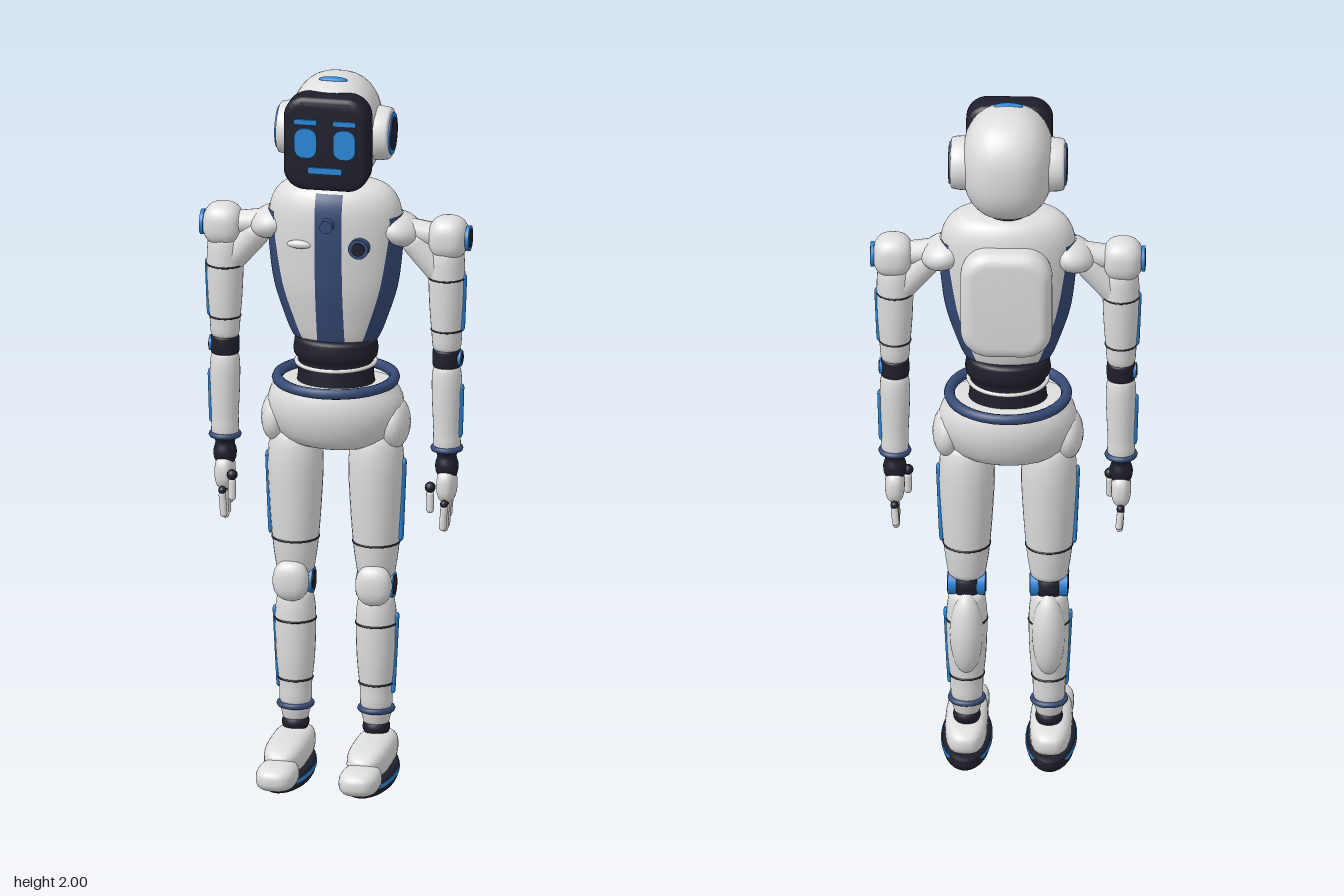
import * as THREE from 'three';
import { mergeVertices, toCreasedNormals } from 'three/addons/utils/BufferGeometryUtils.js';

const paint = (name, color, side = THREE.FrontSide) => {
  const m = new THREE.MeshStandardMaterial({ color, side });
  m.name = name;
  return m;
};
const V2 = (x, y) => new THREE.Vector2(x, y);
const Z = -0.066; // depth of the body axis

export function createModel() {
  const white = paint('shell white', 0xdedede);
  const dark = paint('joint black', 0x1f1f2c);
  const blue = paint('light blue', 0x2b86da);
  const navy = paint('panel navy', 0x364a76, THREE.DoubleSide);

  const root = new THREE.Group();
  root.name = 'robot';
  const group = (name) => {
    const g = new THREE.Group();
    g.name = name;
    root.add(g);
    return g;
  };
  const add = (parent, name, geo, mat, x = 0, y = 0, z = Z) => {
    const m = new THREE.Mesh(geo, mat);
    m.name = name;
    m.position.set(x, y, z);
    parent.add(m);
    return m;
  };
  const ball = (rx, ry, rz) => new THREE.SphereGeometry(1, 20, 12).scale(rx, ry, rz);
  // sphere swollen toward a box
  const softBox = (rx, ry, rz, e = 0.75) => {
    let g = new THREE.SphereGeometry(1, 32, 20);
    g.deleteAttribute('uv');
    g.deleteAttribute('normal');
    const p = g.attributes.position;
    const f = (v) => Math.sign(v) * Math.abs(v) ** e;
    for (let i = 0; i < p.count; i++) p.setXYZ(i, f(p.getX(i)) * rx, f(p.getY(i)) * ry, f(p.getZ(i)) * rz);
    g = mergeVertices(g, 1e-5);
    g.computeVertexNormals();
    return g;
  };
  const smooth = (pts, steps) => new THREE.SplineCurve(pts.map(([r, y]) => V2(r, y))).getPoints((pts.length - 1) * steps).map((p) => V2(Math.max(p.x, 0), p.y));
  // profile runs bottom to top as [radius, height]
  const lathe = (pts, k = 1) => new THREE.LatheGeometry(smooth(pts, 3), 28).scale(1, 1, k);
  const disc = (r, h) => new THREE.CylinderGeometry(r, r, h, 28);
  const sideDisc = (r, h) => disc(r, h).rotateZ(Math.PI / 2);
  const ring = (r, t) => new THREE.TorusGeometry(r, t, 8, 32).rotateX(Math.PI / 2);
  const plate = (w, h, d, r, b) => {
    const s = new THREE.Shape();
    const x = w / 2 - b, y = h / 2 - b, q = Math.max(r - b, 0.001);
    s.absarc(x - q, y - q, q, 0, Math.PI / 2);
    s.absarc(-x + q, y - q, q, Math.PI / 2, Math.PI);
    s.absarc(-x + q, -y + q, q, Math.PI, Math.PI * 1.5);
    s.absarc(x - q, -y + q, q, Math.PI * 1.5, Math.PI * 2);
    const g = new THREE.ExtrudeGeometry(s, { depth: d - 2 * b, bevelEnabled: b > 0, bevelSize: b, bevelThickness: b, bevelSegments: 5, curveSegments: 8 });
    return toCreasedNormals(g.translate(0, 0, -d / 2 + b), 0.7);
  };
  const capsule = (r, len) => new THREE.CapsuleGeometry(r, len, 4, 12);
  const rod = (parent, name, mat, r, a, b) => {
    const A = new THREE.Vector3(...a), B = new THREE.Vector3(...b);
    const d = B.clone().sub(A);
    const m = add(parent, name, capsule(r, d.length()), mat);
    m.position.copy(A).lerp(B, 0.5);
    m.quaternion.setFromUnitVectors(new THREE.Vector3(0, 1, 0), d.normalize());
  };

  // Head
  const head = group('head');
  add(head, 'skull', softBox(0.126, 0.156, 0.143, 0.85), white, 0, 1.842);
  add(head, 'faceScreen', plate(0.236, 0.266, 0.085, 0.06, 0.02), dark, 0, 1.838, 0.042);
  for (const s of [-1, 1]) {
    add(head, 'eye', plate(0.062, 0.084, 0.006, 0.026, 0), blue, s * 0.054, 1.843, 0.087);
    add(head, 'brow', plate(0.064, 0.015, 0.006, 0.005, 0), blue, s * 0.054, 1.903, 0.087);
    add(head, 'earShell', lathe([[0, -0.05], [0.07, -0.05], [0.075, -0.02], [0.072, 0.015], [0.06, 0.026], [0, 0.026]]), white, s * 0.13, 1.836).rotation.z = -s * Math.PI / 2;
    add(head, 'earRing', sideDisc(0.058, 0.008), blue, s * 0.156, 1.836);
    add(head, 'earCore', sideDisc(0.046, 0.008), dark, s * 0.158, 1.836);
  }
  add(head, 'mouth', plate(0.094, 0.018, 0.006, 0.005, 0), blue, 0, 1.766, 0.087);
  add(head, 'crownLight', ball(0.04, 0.008, 0.014), blue, 0, 1.992, -0.028);
  add(head, 'neck', disc(0.065, 0.06), dark, 0, 1.695);

  // Torso with fitted navy panels
  const torso = group('torso');
  const K = 0.6;
  const profile = [[0, 1.235], [0.09, 1.235], [0.115, 1.25], [0.14, 1.31], [0.168, 1.4], [0.181, 1.5], [0.185, 1.58], [0.176, 1.64], [0.145, 1.68], [0.09, 1.695], [0, 1.697]];
  const outline = smooth(profile, 5);
  add(torso, 'chestShell', new THREE.LatheGeometry(outline, 56).scale(1, 1, K), white);
  const radiusAt = (y) => {
    const i = outline.findIndex((p, j) => j > 7 && p.y >= y);
    const a = outline[i - 1], b = outline[i];
    return a.x + ((b.x - a.x) * (y - a.y)) / (b.y - a.y);
  };
  const panel = (name, y0, y1, from, to) => {
    const g = new THREE.PlaneGeometry(1, 1, 20, 28);
    const p = g.attributes.position;
    for (let i = 0; i < p.count; i++) {
      const y = y0 + (y1 - y0) * (p.getY(i) + 0.5);
      const r = radiusAt(y), a = from(y, r) + (to(y, r) - from(y, r)) * (p.getX(i) + 0.5);
      p.setXYZ(i, (r + 0.003) * Math.sin(a), y, (r * K + 0.003) * Math.cos(a));
    }
    g.computeVertexNormals();
    add(torso, name, g, navy);
  };
  const half = (y, r) => Math.asin(0.037 / r);
  panel('frontStripe', 1.25, 1.68, (y, r) => -half(y, r), half);
  const edge = (y) => 0.78 + 0.26 * Math.min(1, Math.max(0, (y - 1.25) / 0.35));
  panel('leftFlank', 1.25, 1.61, edge, (y) => Math.PI - edge(y));
  panel('rightFlank', 1.25, 1.61, (y) => edge(y) - Math.PI, (y) => -edge(y));
  add(torso, 'backPack', plate(0.25, 0.32, 0.09, 0.08, 0.035), white, 0, 1.47, -0.182);
  add(torso, 'collarButton', disc(0.018, 0.025).rotateX(Math.PI / 2), navy, 0, 1.6, 0.06);
  add(torso, 'chestBadge', ball(0.037, 0.012, 0.012), white, -0.08, 1.535, 0.034);
  add(torso, 'chestSensor', disc(0.028, 0.03).rotateX(Math.PI / 2), navy, 0.085, 1.535, 0.035);
  add(torso, 'chestLens', disc(0.018, 0.006).rotateX(Math.PI / 2), dark, 0.085, 1.535, 0.052);

  // Waist and pelvis
  const hips = group('hips');
  add(hips, 'waist', lathe([[0, 1.09], [0.1, 1.09], [0.105, 1.14], [0.102, 1.18], [0.115, 1.2], [0.115, 1.23], [0.1, 1.25], [0, 1.25]], 0.78), dark);
  add(hips, 'waistRing', ring(0.108, 0.006), white, 0, 1.178);
  add(hips, 'hipRing', ring(0.16, 0.015), navy, 0, 1.13);
  add(hips, 'pelvis', lathe([[0, 0.935], [0.09, 0.94], [0.15, 0.965], [0.183, 1.02], [0.188, 1.07], [0.172, 1.11], [0.15, 1.122], [0, 1.122]], 0.7), white);

  for (const s of [-1, 1]) {
    // Leg
    const leg = group(s > 0 ? 'leftLeg' : 'rightLeg');
    const lx = s * 0.112;
    add(leg, 'hipCap', ball(0.042, 0.072, 0.07), white, s * 0.164, 1.01);
    add(leg, 'thigh', lathe([[0, 0.565], [0.045, 0.57], [0.055, 0.6], [0.064, 0.67], [0.072, 0.78], [0.076, 0.9], [0.06, 0.98], [0, 1]]), white, lx);
    add(leg, 'thighSeam', ring(0.0635, 0.003), dark, lx, 0.668);
    add(leg, 'thighLight', capsule(0.014, 0.21).scale(0.5, 1, 1), blue, s * 0.185, 0.79).rotation.z = -s * 0.04;
    add(leg, 'kneeJoint', ball(0.047, 0.05, 0.045), dark, lx, 0.545);
    add(leg, 'kneeAxle', sideDisc(0.036, 0.102), blue, lx, 0.545);
    add(leg, 'kneeHub', sideDisc(0.027, 0.106), dark, lx, 0.545);
    add(leg, 'kneeCap', softBox(0.05, 0.057, 0.033, 0.85), white, s * 0.115, 0.555, -0.015);
    add(leg, 'shin', lathe([[0, 0.19], [0.04, 0.19], [0.045, 0.25], [0.053, 0.33], [0.056, 0.43], [0.052, 0.49], [0.04, 0.52], [0, 0.525]]), white, lx);
    add(leg, 'calf', ball(0.046, 0.125, 0.048), white, lx, 0.405, -0.098);
    for (const [y, r] of [[0.435, 0.0555], [0.265, 0.0465]]) add(leg, 'shinSeam', ring(r, 0.003), dark, lx, y);
    add(leg, 'shinLight', capsule(0.011, 0.21).scale(0.6, 1, 1), blue, s * 0.164, 0.35).rotation.z = -s * 0.05;
    add(leg, 'ankleRing', ring(0.044, 0.008), navy, lx, 0.19);
    add(leg, 'ankleCuff', lathe([[0, 0.145], [0.03, 0.147], [0.038, 0.165], [0.04, 0.19], [0, 0.19]]), white, lx);
    add(leg, 'ankleJoint', ball(0.038, 0.03, 0.038), dark, lx, 0.138);

    // Foot
    const fx = s * 0.115;
    add(leg, 'sole', lathe([[0, 0], [0.055, 0.001], [0.066, 0.012], [0.067, 0.03], [0.06, 0.044], [0, 0.045]], 2.6), dark, fx, 0.002, 0.012);
    add(leg, 'soleLight', disc(1, 0.012).scale(0.07, 1, 0.17), blue, fx, 0.03, 0.012);
    add(leg, 'instep', softBox(0.058, 0.046, 0.155, 0.7), white, fx, 0.08, 0.0);
    add(leg, 'toe', softBox(0.056, 0.037, 0.075, 0.75), white, fx, 0.056, 0.168);

    // Shoulder and arm
    const arm = group(s > 0 ? 'leftArm' : 'rightArm');
    const ax = s * 0.308;
    add(arm, 'yoke', ball(0.066, 0.045, 0.075), white, s * 0.175, 1.565, -0.072).rotation.z = -s * 0.3;
    rod(arm, 'shoulderLink', white, 0.034, [s * 0.2, 1.565, Z], [s * 0.3, 1.55, Z]);
    rod(arm, 'underArmLink', white, 0.042, [s * 0.225, 1.53, Z], [s * 0.295, 1.45, Z]);
    add(arm, 'shoulderBall', softBox(0.055, 0.06, 0.056, 0.8), white, s * 0.313, 1.55);
    add(arm, 'shoulderRing', sideDisc(0.035, 0.01), blue, s * 0.369, 1.55);
    add(arm, 'shoulderHub', sideDisc(0.026, 0.01), dark, s * 0.37, 1.55);
    add(arm, 'upperArm', lathe([[0, 1.225], [0.035, 1.228], [0.042, 1.28], [0.048, 1.36], [0.05, 1.45], [0.042, 1.52], [0, 1.53]]), white, ax);
    for (const [y, r] of [[1.435, 0.0495], [1.287, 0.0425]]) add(arm, 'upperArmSeam', ring(r, 0.0025), dark, ax, y);
    add(arm, 'upperArmLight', capsule(0.012, 0.14).scale(0.6, 1, 1), blue, s * 0.354, 1.365).rotation.z = -s * 0.04;
    add(arm, 'elbow', lathe([[0, 1.178], [0.034, 1.18], [0.039, 1.19], [0.039, 1.22], [0.034, 1.232], [0, 1.234]]), dark, ax);
    add(arm, 'elbowRing', sideDisc(0.022, 0.01), blue, s * 0.345, 1.206);
    add(arm, 'elbowHub', sideDisc(0.015, 0.012), dark, s * 0.346, 1.206);
    add(arm, 'forearm', lathe([[0, 0.945], [0.035, 0.946], [0.037, 1], [0.041, 1.1], [0.04, 1.16], [0.03, 1.188], [0, 1.19]]), white, ax);
    add(arm, 'forearmLight', capsule(0.012, 0.13).scale(0.6, 1, 1), blue, s * 0.347, 1.055).rotation.z = -s * 0.03;
    add(arm, 'wristRing', ring(0.037, 0.008), navy, ax, 0.947);
    add(arm, 'wrist', lathe([[0, 0.865], [0.026, 0.87], [0.032, 0.9], [0.026, 0.925], [0.034, 0.947], [0, 0.95]]), dark, ax);

    // Hand: four fingers spread front to back, thumb in front
    add(arm, 'palm', softBox(0.027, 0.05, 0.045, 0.8), white, ax, 0.842);
    [0.72, 0.71, 0.715, 0.735].forEach((tip, i) => {
      const z = Z + 0.039 - i * 0.026;
      add(arm, 'knuckle', ball(0.011, 0.011, 0.011), dark, ax, 0.797, z);
      rod(arm, 'finger', white, 0.01, [ax, 0.785, z], [s * 0.304, tip + 0.01, z * 1.03]);
    });
    add(arm, 'thumbJoint', ball(0.015, 0.015, 0.015), dark, s * 0.275, 0.852, 0);
    rod(arm, 'thumb', white, 0.011, [s * 0.275, 0.832, 0], [s * 0.275, 0.79, 0.002]);
  }
  return root;
}
